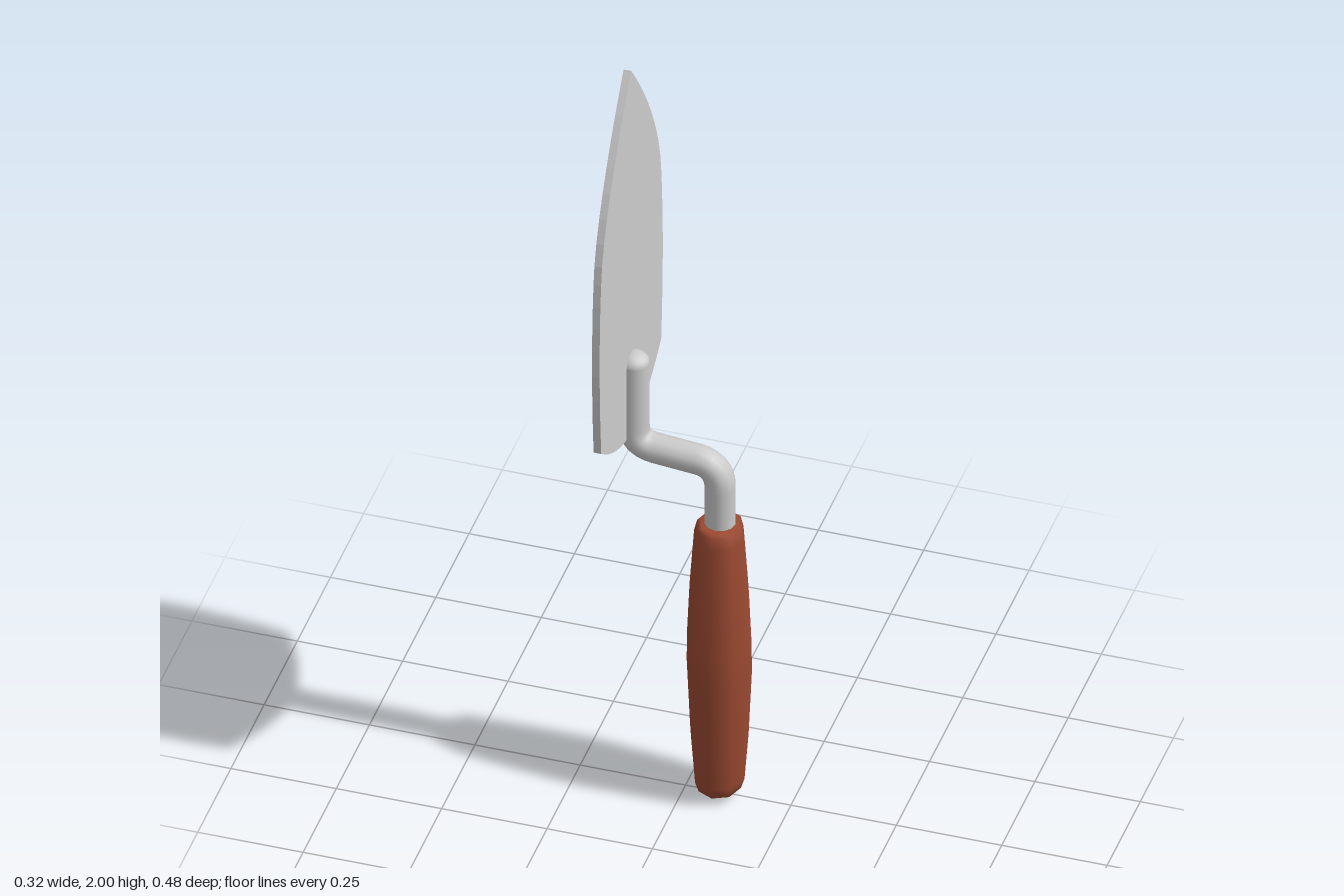
import * as THREE from 'three';

const steel = new THREE.MeshStandardMaterial({ color: 0xcccccc });
const wood = new THREE.MeshStandardMaterial({ color: 0x9c4a32 });

function addPart(group, name, geometry, material) {
  const mesh = new THREE.Mesh(geometry, material);
  mesh.name = name;
  group.add(mesh);
  return mesh;
}

// Flat pointed plate, mirrored about its centre line
function bladeGeometry() {
  const thickness = 0.018;
  const shape = new THREE.Shape();
  shape.moveTo(0, 2);
  shape.bezierCurveTo(0.08, 1.9, 0.19, 1.74, 0.22, 1.6);
  shape.bezierCurveTo(0.24, 1.48, 0.245, 1.28, 0.226, 1.075);
  shape.quadraticCurveTo(0.12, 0.985, 0, 0.97);
  shape.quadraticCurveTo(-0.12, 0.985, -0.226, 1.075);
  shape.bezierCurveTo(-0.245, 1.28, -0.24, 1.48, -0.22, 1.6);
  shape.bezierCurveTo(-0.19, 1.74, -0.08, 1.9, 0, 2);
  const geo = new THREE.ExtrudeGeometry(shape, { depth: thickness, bevelEnabled: false, curveSegments: 8 });
  geo.translate(0, 0, -thickness / 2);
  geo.rotateY(-Math.PI / 2);
  return geo;
}

// Cranked neck: two straight runs joined by rounded bends
function shankPath() {
  const v = (x, y) => new THREE.Vector3(x, y, 0);
  const path = new THREE.CurvePath();
  path.add(new THREE.LineCurve3(v(0.082, 0.7), v(0.082, 0.87)));
  path.add(new THREE.QuadraticBezierCurve3(v(0.082, 0.87), v(0.08, 0.932), v(0.02, 0.934)));
  path.add(new THREE.LineCurve3(v(0.02, 0.934), v(-0.065, 0.942)));
  path.add(new THREE.QuadraticBezierCurve3(v(-0.065, 0.942), v(-0.122, 0.945), v(-0.122, 0.995)));
  path.add(new THREE.LineCurve3(v(-0.122, 0.995), v(-0.122, 1.175)));
  return path;
}

export function createModel() {
  const group = new THREE.Group();
  group.name = 'trowel';

  addPart(group, 'blade', bladeGeometry(), steel).position.x = -0.138;

  const radius = 0.036;
  addPart(group, 'shank', new THREE.TubeGeometry(shankPath(), 48, radius, 12, false), steel);

  // Rounded end of the shank, lying on the blade
  const tip = addPart(group, 'shankTip',
    new THREE.SphereGeometry(radius, 12, 5, 0, Math.PI * 2, 0, Math.PI / 2), steel);
  tip.position.set(-0.122, 1.175, 0);
  tip.scale.y = 0.75;

  // Eight-sided barrel handle, slightly flattened in x
  const profile = [[0, 0], [0.035, 0.006], [0.058, 0.022], [0.068, 0.05], [0.079, 0.18],
    [0.088, 0.36], [0.087, 0.44], [0.08, 0.58], [0.068, 0.73], [0.06, 0.76], [0.05, 0.767], [0, 0.767]];
  const handle = addPart(group, 'handle',
    new THREE.LatheGeometry(profile.map(([r, y]) => new THREE.Vector2(r, y)), 8), wood);
  handle.position.x = 0.08;
  handle.scale.x = 0.88;

  return group;
}
